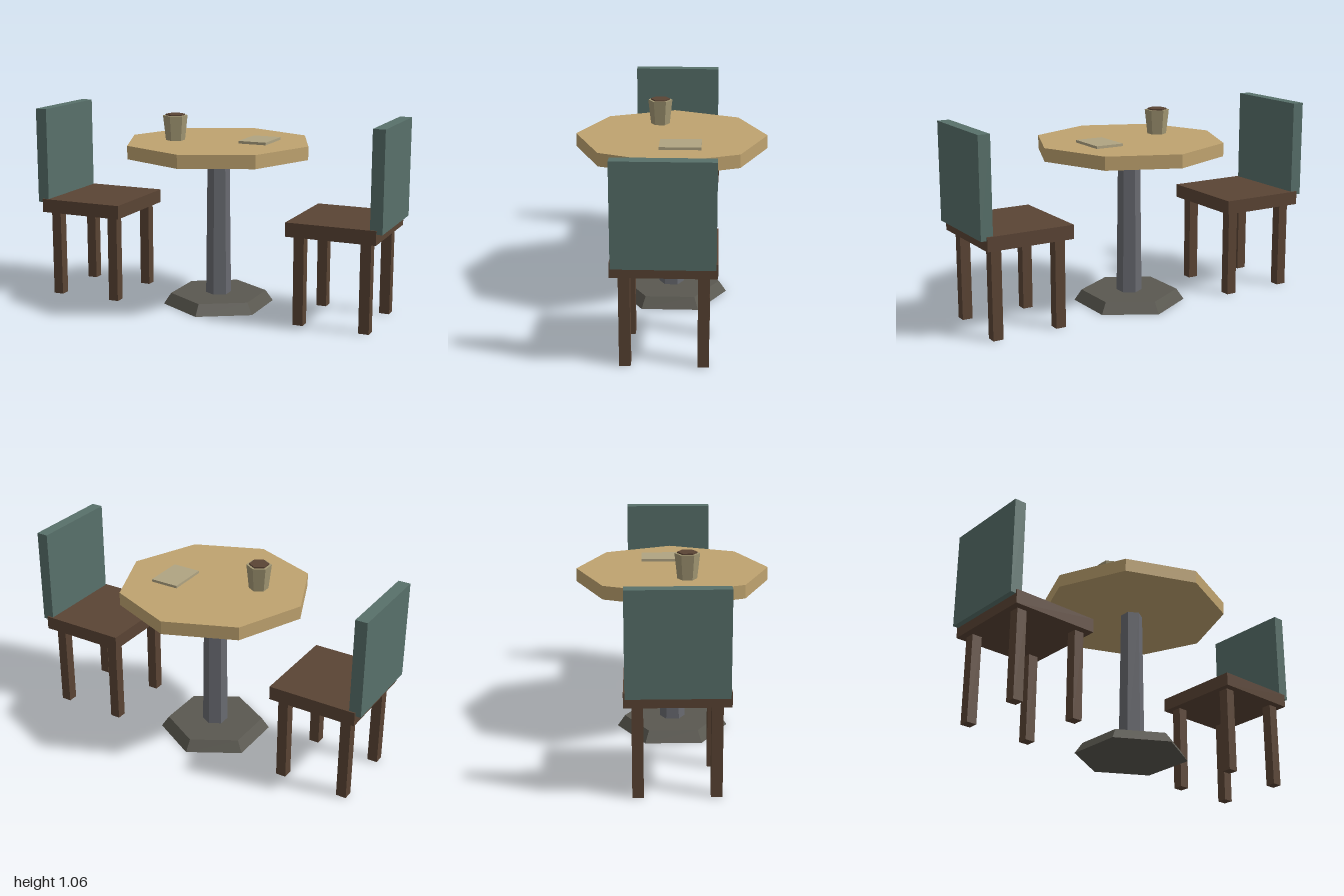
import * as THREE from 'three';

const mat = (color) => new THREE.MeshStandardMaterial({ color, flatShading: true });
const wood = mat(0x5a4434);
const fabric = mat(0x58706a);

// Box given by its extents on each axis
function box(name, material, [x0, x1], [y0, y1], [z0, z1]) {
  const mesh = new THREE.Mesh(new THREE.BoxGeometry(x1 - x0, y1 - y0, z1 - z0), material);
  mesh.position.set((x0 + x1) / 2, (y0 + y1) / 2, (z0 + z1) / 2);
  mesh.name = name;
  return mesh;
}

// Faceted, tapered column between two heights
function prism(name, material, sides, rTop, rBottom, y0, y1, x = 0, z = 0) {
  const mesh = new THREE.Mesh(new THREE.CylinderGeometry(rTop, rBottom, y1 - y0, sides), material);
  mesh.position.set(x, (y0 + y1) / 2, z);
  mesh.name = name;
  return mesh;
}

// Chair on the +x side, facing the table
function makeChair(name) {
  const chair = new THREE.Group();
  chair.name = name;
  chair.add(box('seat', wood, [0.488, 0.97], [0.48, 0.555], [-0.258, 0.258]));
  chair.add(box('backrest', fabric, [0.935, 1.0], [0.535, 1.063], [-0.25, 0.25]));
  for (const x of [0.549, 0.907]) {
    for (const z of [-0.191, 0.191]) {
      chair.add(box('chairLeg', wood, [x - 0.028, x + 0.028], [0, 0.48], [z - 0.028, z + 0.028]));
    }
  }
  return chair;
}

export function createModel() {
  const model = new THREE.Group();
  model.name = 'cafeTableSet';

  // Table: hexagonal foot and post, octagonal top
  const table = new THREE.Group();
  table.name = 'table';
  table.add(prism('tableBase', mat(0x5a5850), 6, 0.265, 0.306, 0, 0.06));
  table.add(prism('tablePost', mat(0x686a70), 6, 0.06, 0.07, 0.05, 0.85));
  table.add(prism('tableTop', mat(0xbfa36f), 8, 0.516, 0.516, 0.84, 0.912));
  model.add(table);

  // Cup with a drink disc standing just proud of the rim
  const cup = new THREE.Group();
  cup.name = 'cup';
  cup.add(prism('cupBody', mat(0xa39874), 6, 0.067, 0.052, 0.912, 1.047, -0.225, 0.072));
  cup.add(prism('drink', mat(0x5a4434), 6, 0.053, 0.053, 1.04, 1.054, -0.225, 0.072));
  model.add(cup);

  // Menu card lying on the table
  model.add(box('menu', mat(0xb0a482), [0.14, 0.297], [0.912, 0.926], [-0.165, 0.055]));

  // Two chairs facing each other
  const leftChair = makeChair('leftChair');
  const rightChair = makeChair('rightChair');
  rightChair.rotation.y = Math.PI;
  model.add(leftChair, rightChair);

  return model;
}
